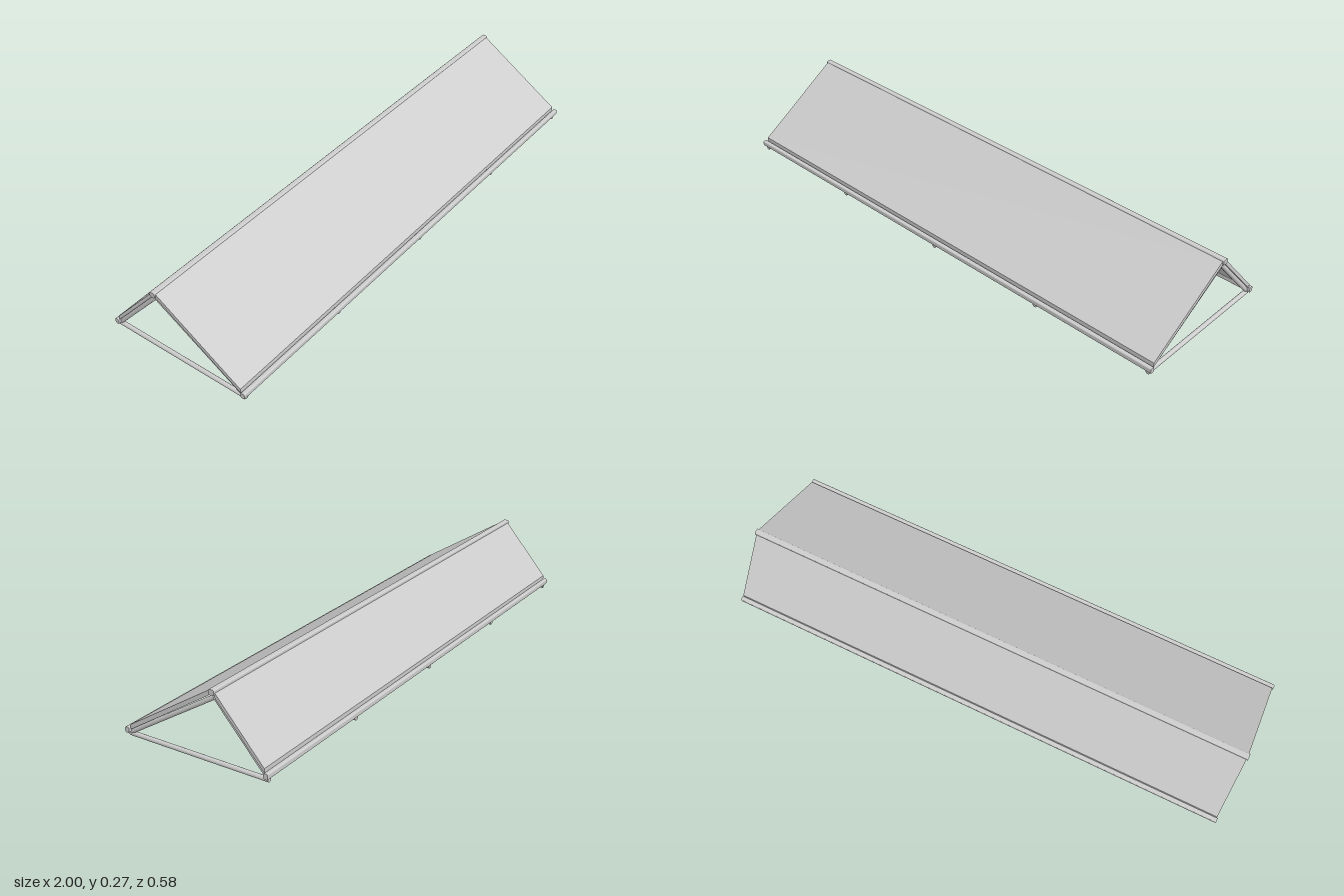
import * as THREE from 'three';

const LENGTH = 2;
const RIDGE_Z = -0.084;
const EAVE_Z = 0.284;
const TUBE_R = 0.0085;

export function createModel() {
  const metal = new THREE.MeshStandardMaterial({ color: 0xcccccc });
  metal.name = 'lightGrey';
  const model = new THREE.Group();
  model.name = 'pitchedRoof';

  const add = (name, geometry, parent = model) => {
    const mesh = new THREE.Mesh(geometry, metal);
    mesh.name = name;
    parent.add(mesh);
    return mesh;
  };

  // Round tube between two (z, y) points, with ends cut vertically
  const tube = (z0, y0, z1, y1) => {
    const slope = (y1 - y0) / (z1 - z0);
    const g = new THREE.CylinderGeometry(TUBE_R, TUBE_R, Math.abs(z1 - z0), 16);
    g.rotateX(Math.PI / 2);
    g.scale(1, Math.hypot(1, slope), 1);
    const p = g.attributes.position;
    for (let i = 0; i < p.count; i++) p.setY(i, p.getY(i) + slope * p.getZ(i));
    g.computeVertexNormals();
    g.translate(0, (y0 + y1) / 2, (z0 + z1) / 2);
    return g;
  };

  // Extrude a (z, y) outline along x, centred
  const extrudeX = (shape, length) => {
    const g = new THREE.ExtrudeGeometry(shape, { depth: length, bevelEnabled: false, curveSegments: 4 });
    g.translate(0, 0, -length / 2);
    g.rotateY(-Math.PI / 2); // shape x becomes world z
    return g;
  };

  // Rounded rail running the whole length
  const rail = (w, h, r) => {
    const s = new THREE.Shape();
    const a = w / 2 - r, b = h / 2 - r;
    s.absarc(a, b, r, 0, Math.PI / 2);
    s.absarc(-a, b, r, Math.PI / 2, Math.PI);
    s.absarc(-a, -b, r, Math.PI, Math.PI * 1.5);
    s.absarc(a, -b, r, Math.PI * 1.5, Math.PI * 2);
    return extrudeX(s, LENGTH);
  };

  // Roof panel with vertical edges
  const panel = (z0, y0, z1, y1, t) => extrudeX(new THREE.Shape([
    new THREE.Vector2(z0, y0), new THREE.Vector2(z1, y1),
    new THREE.Vector2(z1, y1 - t), new THREE.Vector2(z0, y0 - t),
  ]), LENGTH - 0.01);

  add('frontPanel', panel(0.272, 0.047, -0.076, 0.266, 0.018));
  add('backPanel', panel(-0.276, 0.051, -0.092, 0.261, 0.018));

  // Ridge and eave rails
  add('ridgeRail', rail(0.022, 0.02, 0.005)).position.set(0, 0.259, RIDGE_Z);
  add('frontEaveRail', rail(0.017, 0.021, 0.005)).position.set(0, 0.0265, EAVE_Z);
  add('backEaveRail', rail(0.017, 0.021, 0.005)).position.set(0, 0.0265, -EAVE_Z + 0.001);

  // Five triangular trusses
  const frontRafter = tube(RIDGE_Z, 0.238, EAVE_Z, 0.012);
  const backRafter = tube(-EAVE_Z, 0.013, RIDGE_Z, 0.241);
  const chord = tube(-EAVE_Z, TUBE_R, EAVE_Z, TUBE_R);
  for (const x of [-0.982, -0.495, 0, 0.495, 0.982]) {
    const truss = new THREE.Group();
    truss.name = 'truss';
    truss.position.x = x;
    add('frontRafter', frontRafter, truss);
    add('backRafter', backRafter, truss);
    add('bottomChord', chord, truss);
    model.add(truss);
  }
  return model;
}
